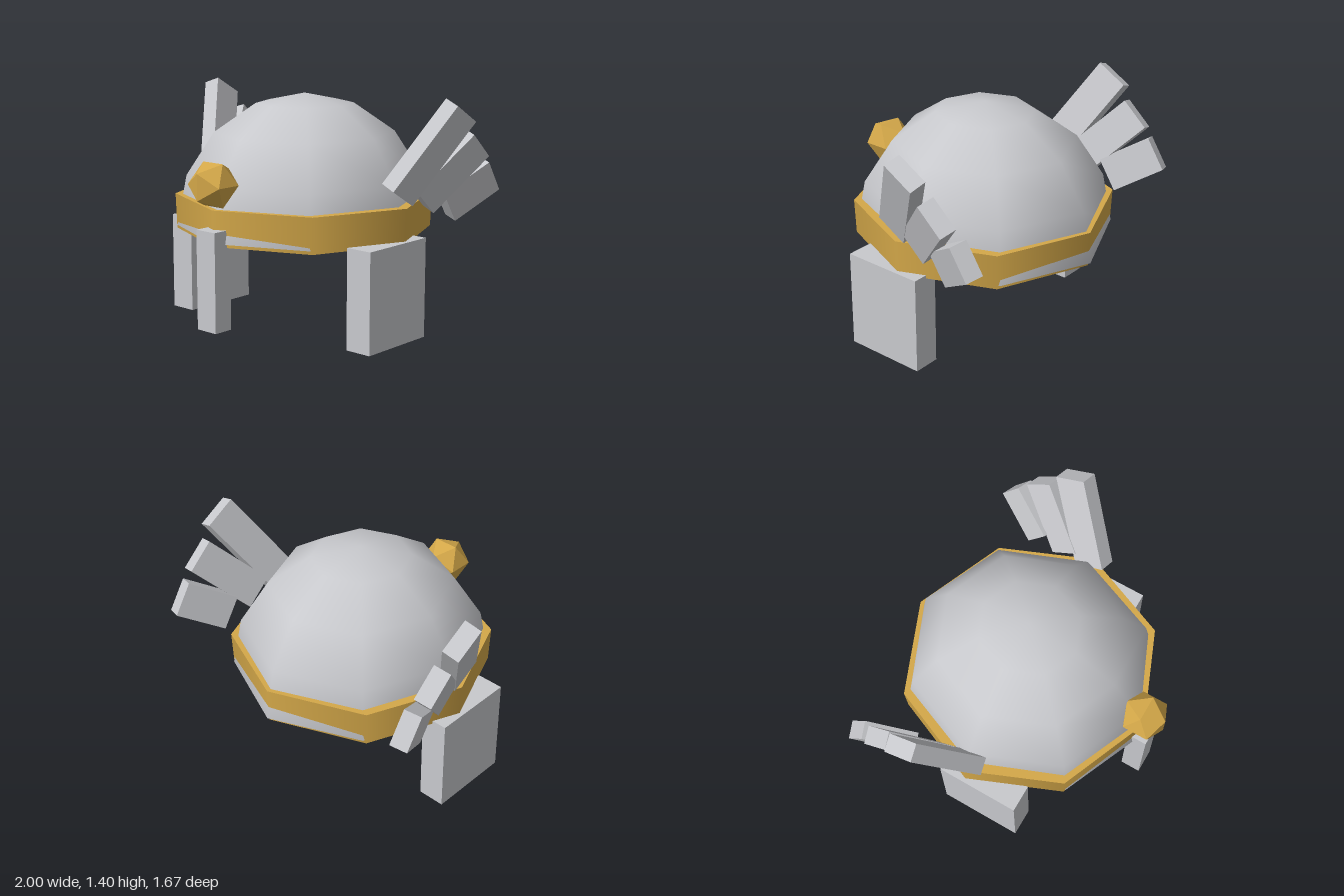
import * as THREE from 'three';

const silver = new THREE.MeshStandardMaterial({ color: 0xc8c9cd, side: THREE.DoubleSide });
silver.name = 'silver';
const gold = new THREE.MeshStandardMaterial({ color: 0xd4a849 });
gold.name = 'gold';

export function createModel() {
  const group = new THREE.Group();
  group.name = 'wingedHelmet';

  const add = (name, geometry, material, x, y, z) => {
    const mesh = new THREE.Mesh(geometry, material);
    mesh.name = name;
    mesh.position.set(x, y, z);
    group.add(mesh);
    return mesh;
  };

  // Eight-sided smooth half dome, a little longer than wide
  const dome = new THREE.SphereGeometry(1, 8, 4, 0, Math.PI * 2, 0, Math.PI / 2);
  dome.scale(0.75, 0.79, 0.778);
  add('dome', dome, silver, 0, 0.59, -0.054);

  // Brow band; the dome's lower corners poke through at front and back
  const band = new THREE.CylinderGeometry(0.77, 0.762, 0.21, 8);
  band.scale(1.006, 1, 1);
  add('browBand', band, gold, 0, 0.675, -0.052);

  // Brow gem
  add('browGem', new THREE.IcosahedronGeometry(0.146, 0), gold, 0, 0.925, 0.71);

  // Nose guard
  add('noseGuard', new THREE.BoxGeometry(0.145, 0.58, 0.122), silver, 0, 0.38, 0.714);

  // Feathers: length, backward fan angle in degrees, height, depth
  const feathers = [
    [0.594, 30, 1.092, -0.167],
    [0.463, 42, 0.967, -0.355],
    [0.334, 57, 0.837, -0.546],
  ];
  for (const [side, label] of [[1, 'left'], [-1, 'right']]) {
    add(label + 'CheekGuard', new THREE.BoxGeometry(0.165, 0.59, 0.505), silver, side * 0.71, 0.295, 0.042);

    feathers.forEach(([length, fan, y, z], i) => {
      const feather = add(label + 'Feather' + (i + 1),
        new THREE.BoxGeometry(0.104, length, 0.208), silver, side * 0.837, y, z);
      feather.rotation.set(-THREE.MathUtils.degToRad(fan), 0, -side * THREE.MathUtils.degToRad(22.7));
    });
  }
  return group;
}
